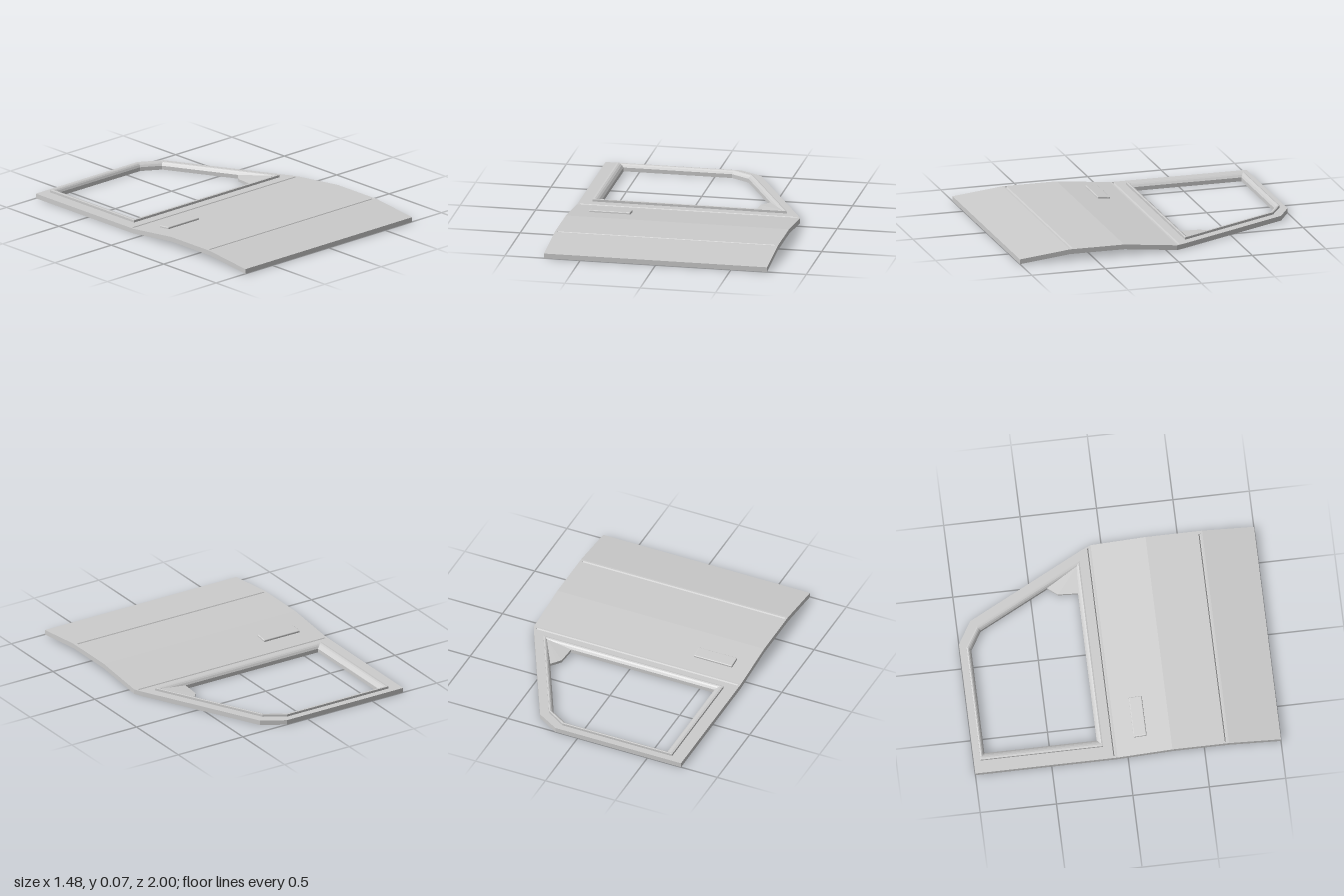
import * as THREE from 'three';
import { ConvexGeometry } from 'three/addons/geometries/ConvexGeometry.js';
import { RoundedBoxGeometry } from 'three/addons/geometries/RoundedBoxGeometry.js';

const material = new THREE.MeshStandardMaterial({ color: 0xcccccc, flatShading: true, side: THREE.DoubleSide });
const THICK = 0.032;
const SPLIT = -0.13; // z where the panel meets the window frame

// Plan outlines as [x, -z]
const TRIM_OUTER = [[-0.655, 0.155], [0.635, 0.155], [0.265, 0.87], [0.13, 0.955], [-0.655, 0.955]];
const TRIM_INNER = [[-0.605, 0.19], [0.581, 0.19], [0.24, 0.85], [0.115, 0.925], [-0.605, 0.925]];
const toPoints = (list) => list.map(([x, y]) => new THREE.Vector2(x, y));

function add(group, name, geometry) {
  const mesh = new THREE.Mesh(geometry, material);
  mesh.name = name;
  group.add(mesh);
  return mesh;
}

// Bent lower skin between two x positions, with optional V grooves
function panelSlice(x0, x1, grooved) {
  const bottom = [[SPLIT, 0], [-0.07, 0], [0.29, 0.038], [0.66, 0.038], [1, 0]];
  let top = bottom.map(([z, y]) => [z, y + THICK]);
  if (grooved) {
    const groove = (z, y) => [[z - 0.007, y], [z, y - 0.01], [z + 0.007, y]];
    top = [top[0], ...groove(-0.088, THICK), top[1], top[2], ...groove(0.641, 0.07), ...top.slice(3)];
  }
  const outline = [...bottom, ...top.reverse()].map(([z, y]) => [-z, y]);
  const geometry = new THREE.ExtrudeGeometry(new THREE.Shape(toPoints(outline)), { depth: x1 - x0, bevelEnabled: false });
  geometry.rotateY(Math.PI / 2).translate(x0, 0, 0);
  // Follow the slanted pillar above the beltline
  const p = geometry.attributes.position;
  for (let i = 0; i < p.count; i++) {
    p.setX(i, Math.min(p.getX(i), 0.74 - Math.max(0, -0.08 - p.getZ(i)) * 0.52));
  }
  geometry.computeVertexNormals();
  return geometry;
}

// Raised moulding swept as rings from the outer to the inner outline
function trimGeometry() {
  const section = [[0, 0.02], [0, 0.047], [0.25, 0.049], [0.5, 0.046], [0.75, 0.039], [1, 0.026], [1, 0]];
  const rings = section.map(([t, y]) => TRIM_OUTER.map(([x, u], i) => [
    x + (TRIM_INNER[i][0] - x) * t, y, -(u + (TRIM_INNER[i][1] - u) * t)]));
  const positions = [];
  for (let r = 0; r < rings.length - 1; r++) {
    for (let i = 0; i < 5; i++) {
      const j = (i + 1) % 5;
      const [a, b, c, d] = [rings[r][i], rings[r][j], rings[r + 1][j], rings[r + 1][i]];
      positions.push(...a, ...b, ...c, ...a, ...c, ...d);
    }
  }
  const geometry = new THREE.BufferGeometry();
  geometry.setAttribute('position', new THREE.Float32BufferAttribute(positions, 3));
  geometry.computeVertexNormals();
  return geometry;
}

export function createModel() {
  const door = new THREE.Group();
  door.name = 'door';

  // Lower panel: plain edges either side of the grooved skin
  const panel = new THREE.Group();
  panel.name = 'lowerPanel';
  add(panel, 'rearEdge', panelSlice(-0.74, -0.725, false));
  add(panel, 'groovedSkin', panelSlice(-0.725, 0.72, true));
  add(panel, 'hingeEdge', panelSlice(0.72, 0.74, false));
  door.add(panel);

  // Window frame; its opening stops under the moulding
  const frame = new THREE.Shape(toPoints([
    [-0.74, -SPLIT], [0.714, -SPLIT], [0.31, 0.91], [0.16, 1], [-0.74, 1]]));
  const opening = TRIM_OUTER.map(([x, u], i) => [
    (x + TRIM_INNER[i][0]) / 2, (u + TRIM_INNER[i][1]) / 2]);
  frame.holes.push(new THREE.Path(toPoints(opening)));
  add(door, 'windowFrame', new THREE.ExtrudeGeometry(frame, { depth: THICK, bevelEnabled: false }).rotateX(-Math.PI / 2));
  add(door, 'windowTrim', trimGeometry());

  // Underside flange closing the gap between frame and opening
  const flange = new THREE.Shape(toPoints(opening));
  flange.holes.push(new THREE.Path(toPoints(TRIM_INNER)));
  add(door, 'windowFlange', new THREE.ExtrudeGeometry(flange, { depth: 0.018, bevelEnabled: false }).rotateX(-Math.PI / 2));

  // Faceted mirror mount in the front corner of the window
  const arc = [[0.48, 0.385], [0.45, 0.35], [0.428, 0.32], [0.42, 0.19]];
  const mount = [new THREE.Vector3(0.6, 0.045, -0.178), new THREE.Vector3(0.58, 0.008, -0.19)];
  for (const [x, u] of arc) mount.push(new THREE.Vector3(x, 0.026, -u), new THREE.Vector3(x, 0.008, -u));
  add(door, 'mirrorMount', new ConvexGeometry(mount));

  // Handle, lying on the slope of the panel
  const handle = add(door, 'handle', new RoundedBoxGeometry(0.275, 0.024, 0.086, 2, 0.006));
  handle.position.set(-0.482, 0.05, 0.093);
  handle.rotation.x = -Math.atan(0.038 / 0.36);

  return door;
}
